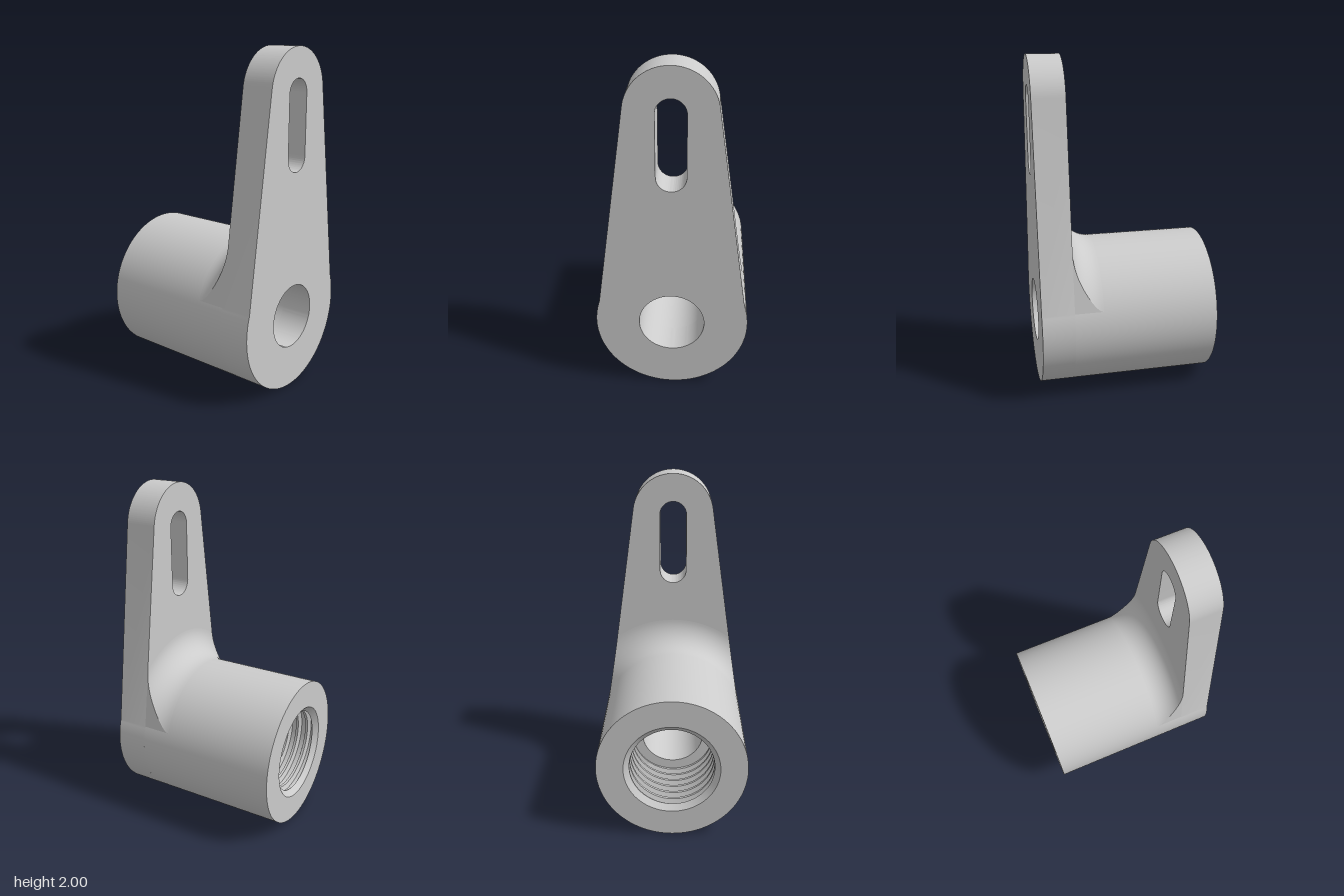
import * as THREE from 'three';
import { toCreasedNormals } from 'three/addons/utils/BufferGeometryUtils.js';

const CY = 0.443, R = 0.443, BORE = 0.19;      // barrel axis height, radius, front bore
const TOP_Y = 1.75, TOP_R = 0.25;              // rounded tip of the arm
const BACK = -0.52, PLATE = 0.33, FRONT = 0.52;
const PHI = 0.143;                             // lean of the straight arm sides
const SIDE = (TOP_Y - CY) * Math.sin(PHI) + TOP_R; // distance from barrel axis to a side
// angle at which a circle of radius r about the barrel axis meets the arm side
const sideAngle = r => PHI + Math.acos(SIDE / r);

// surface from a grid of points; the front is the side of dU x dV
function grid(point, nu, nv) {
  const pos = [], index = [];
  for (let j = 0; j <= nv; j++)
    for (let i = 0; i <= nu; i++) pos.push(...point(i / nu, j));
  for (let j = 0; j < nv; j++)
    for (let i = 0; i < nu; i++) {
      const a = j * (nu + 1) + i, b = a + 1, c = a + nu + 1, d = c + 1;
      index.push(a, b, d, a, d, c);
    }
  const g = new THREE.BufferGeometry();
  g.setAttribute('position', new THREE.Float32BufferAttribute(pos, 3));
  g.setIndex(index);
  return g;
}

export function createModel() {
  const group = new THREE.Group();
  const material = new THREE.MeshStandardMaterial({ color: 0xcccccc });
  const add = (name, geometry) => {
    const mesh = new THREE.Mesh(toCreasedNormals(geometry, 0.45), material);
    mesh.name = name;
    group.add(mesh);
  };
  const polar = (r, t, z) => [r * Math.cos(t), CY + r * Math.sin(t), z];

  // arm plate with bore and slot
  const t0 = sideAngle(R);
  const outline = new THREE.Shape();
  outline.absarc(0, TOP_Y, TOP_R, PHI, Math.PI - PHI, false);
  outline.absarc(0, CY, R, Math.PI - t0, Math.PI * 2 + t0, false);
  outline.closePath();
  const bore = new THREE.Path();
  bore.absarc(0, CY, BORE, 0, Math.PI * 2, true);
  const slot = new THREE.Path();
  slot.absarc(0, 1.747, 0.083, Math.PI, 0, true);
  slot.absarc(0, 1.393, 0.083, 0, -Math.PI, true);
  slot.closePath();
  outline.holes.push(bore, slot);
  const plate = new THREE.ExtrudeGeometry(outline, { depth: FRONT - PLATE, bevelEnabled: false, curveSegments: 64 });
  add('armPlate', plate.translate(0, 0, PLATE));

  // barrel: outer wall with chamfered rim, and the narrow bore with its shoulder
  const THREAD_START = -0.49, SHOULDER = -0.1, MINOR = 0.25, MAJOR = 0.28;
  const turned = (name, profile) => {
    const g = new THREE.LatheGeometry(profile.map(([r, z]) => new THREE.Vector2(r, z)), 96);
    add(name, g.rotateX(Math.PI / 2).translate(0, CY, 0));
  };
  turned('barrel', [[MINOR, THREAD_START], [0.283, BACK], [R, BACK], [R, PLATE]]);
  turned('innerBore', [[BORE, PLATE], [BORE, SHOULDER], [MAJOR, SHOULDER]]);

  // helical internal thread, trimmed flat at both ends
  const pitch = 0.065, turns = 8;
  const tooth = [[0, MINOR], [0.25, MINOR], [0.42, MAJOR], [0.83, MAJOR]];
  add('internalThread', grid((u, j) => {
    const [f, r] = tooth[j % 4];
    const z = THREAD_START + (Math.floor(j / 4) + f - u) * pitch;
    return polar(r, -u * Math.PI * 2, THREE.MathUtils.clamp(z, THREAD_START, SHOULDER));
  }, 96, turns * 4));

  // concave fillet between barrel and arm, cut off by the arm sides
  const FR = 0.17, steps = 20;
  const fillet = j => {
    const a = j / steps * Math.PI / 2;
    return [R + FR * (1 - Math.cos(a)), PLATE - FR + FR * Math.sin(a)];
  };
  add('fillet', grid((u, j) => {
    const [r, z] = fillet(j), t = sideAngle(r);
    return polar(r, t + u * (Math.PI - 2 * t), z);
  }, 64, steps));

  // flat side walls closing the fillet, flush with the arm sides
  for (const s of [1, -1]) {
    add(s > 0 ? 'leftFilletWall' : 'rightFilletWall', grid((u, j) => {
      const [r, z] = fillet(j), [x, y] = polar(r, sideAngle(r), 0);
      const w = s > 0 ? 1 - u : u;
      return [s * x, y, z + (PLATE - z) * w];
    }, 1, steps));
  }
  return group;
}
